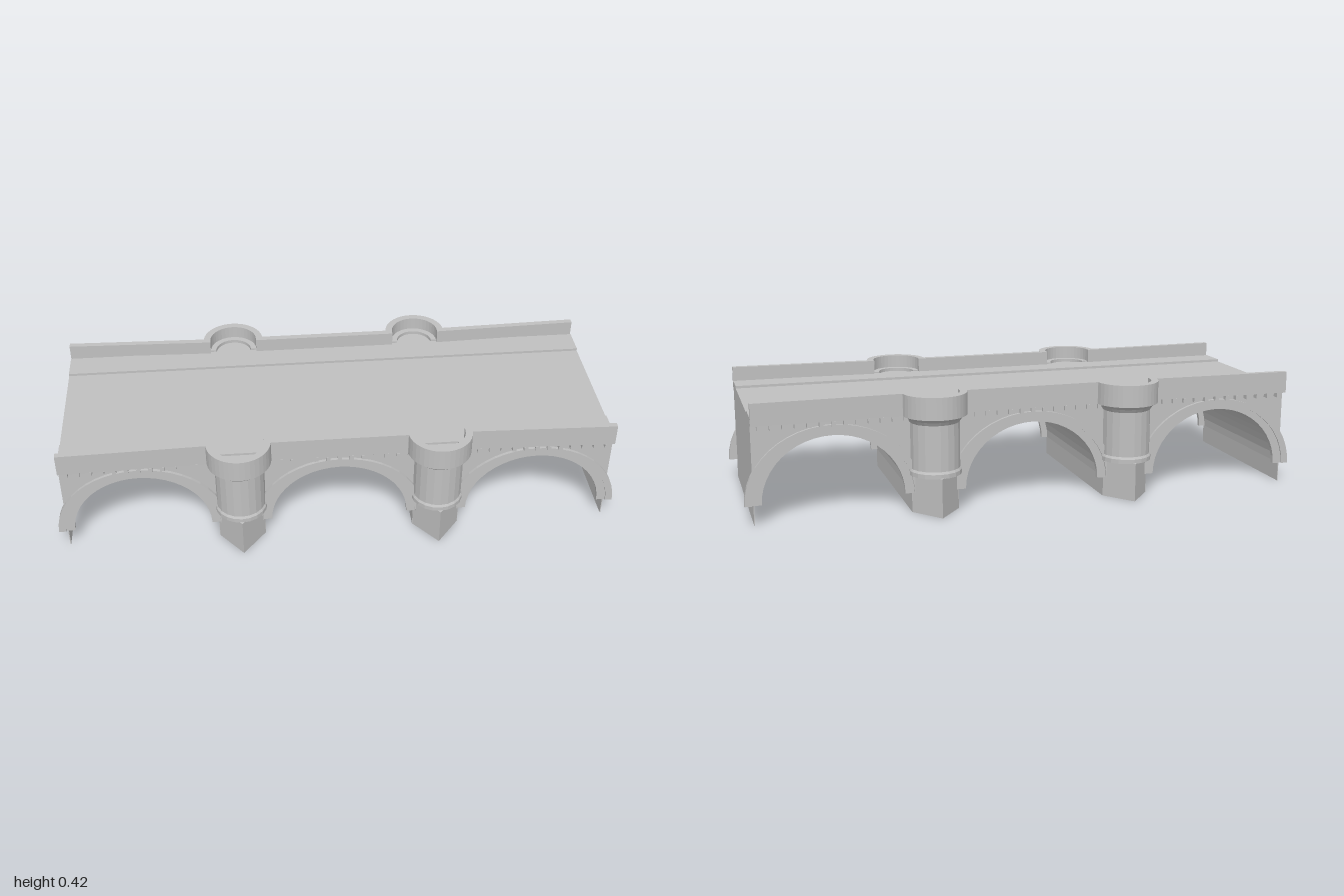
import * as THREE from 'three';

const stone = new THREE.MeshStandardMaterial({ color: 0xc0c0c0, flatShading: true });
stone.name = 'stone';

const TOWERS = [-0.35, 0.35];
const ARCHES = [-0.7, 0, 0.7];
const WALL = 0.32; // z of the spandrel walls and tower axes
const SPRING = 0.07; // height where the arches start

function add(parent, name, geometry) {
  const mesh = new THREE.Mesh(geometry, stone);
  mesh.name = name;
  parent.add(mesh);
  return mesh;
}

// Points of an elliptical arc from angle a to b
function arc(cx, cy, rx, ry, a, b, n = 24) {
  return Array.from({ length: n + 1 }, (_, i) => {
    const t = a + ((b - a) * i) / n;
    return [cx + rx * Math.cos(t), cy + ry * Math.sin(t)];
  });
}

const toShape = (pts) => new THREE.Shape(pts.map(([x, y]) => new THREE.Vector2(x, y)));

// Elevation outline in x/y, extruded from z0 to z1
function elevation(pts, z0, z1) {
  const g = new THREE.ExtrudeGeometry(toShape(pts), { depth: z1 - z0, bevelEnabled: false });
  return g.translate(0, 0, z0);
}

// Plan outline in x/z, extruded from y0 to y1
function plan(pts, y0, y1, side) {
  const shape = toShape(pts.map(([x, z]) => [x, -z * side]));
  const g = new THREE.ExtrudeGeometry(shape, { depth: y1 - y0, bevelEnabled: false });
  return g.rotateX(-Math.PI / 2).translate(0, y0, 0);
}

function box(parent, name, x, y, z, w, h, d) {
  return add(parent, name, new THREE.BoxGeometry(w, h, d).translate(x, y, z));
}

// Face of the wall under the flared parapet ends
const flare = (x) => Math.max(0, (Math.abs(x) - 0.46) / 0.51) * 0.015;

function buildSide(side) {
  const group = new THREE.Group();
  group.name = side > 0 ? 'frontSide' : 'backSide';

  // Stepped arch rings
  for (const cx of ARCHES) {
    const bands = [['innerArchRing', 0.243, 0.223, 0.275, 0.243, 0.326],
      ['outerArchRing', 0.275, 0.243, 0.3, 0.26, 0.331]];
    for (const [name, rx, ry, ox, oy, z] of bands) {
      const pts = [...arc(cx, SPRING, ox, oy, 0, Math.PI), ...arc(cx, SPRING, rx, ry, Math.PI, 0)];
      const zs = [side * 0.31, side * z].sort((a, b) => a - b);
      add(group, name, elevation(pts, zs[0], zs[1]));
    }
  }

  // Parapet running round both half-round refuges
  const outer = [[-0.97, 0.346]];
  const inner = [[-0.97, 0.325]];
  for (const tx of TOWERS) {
    outer.push([tx - 0.112, 0.33], ...arc(tx, WALL, 0.112, 0.112, Math.PI - 0.1, 0.1, 18), [tx + 0.112, 0.33]);
    inner.push([tx - 0.087, 0.307], ...arc(tx, WALL, 0.087, 0.087, Math.PI, 0, 18), [tx + 0.087, 0.307]);
  }
  outer.push([0.97, 0.346]);
  inner.push([0.97, 0.325]);
  add(group, 'parapet', plan([...outer, ...inner.reverse()], 0.342, 0.42, side));

  for (const tx of TOWERS) {
    // Refuge floor and curved bench
    add(group, 'refugeFloor', plan([[tx - 0.1, 0.3], ...arc(tx, WALL, 0.1, 0.1, Math.PI, 0, 18), [tx + 0.1, 0.3]],
      0.342, 0.362, side));
    add(group, 'refugeBench', plan([...arc(tx, WALL, 0.09, 0.09, Math.PI, 0, 18),
      ...arc(tx, WALL, 0.066, 0.066, 0, Math.PI, 18)], 0.355, 0.374, side));

    // Turned shaft with foot moulding and flared neck
    const profile = [[0, 0.135], [0.091, 0.135], [0.091, 0.15], [0.086, 0.158], [0.086, 0.318],
      [0.094, 0.33], [0.106, 0.343], [0, 0.343]].map(([r, y]) => new THREE.Vector2(r, y));
    const start = side > 0 ? -Math.PI / 2 : Math.PI / 2;
    add(group, 'towerShaft', new THREE.LatheGeometry(profile, 10, start, Math.PI).translate(tx, 0, side * WALL));

    // Pointed cutwater at the foot of the pier
    add(group, 'cutwater', plan([[tx - 0.082, 0.31], [tx - 0.082, WALL], [tx, 0.422], [tx + 0.082, WALL],
      [tx + 0.082, 0.31]], 0, 0.137, side));
  }

  // Row of small dentils below the parapet
  for (let i = -23; i <= 23; i++) {
    const x = i * 0.041;
    if (TOWERS.some((tx) => Math.abs(x - tx) < 0.1)) continue;
    box(group, 'dentil', x, 0.334, side * (0.324 + flare(x) / 2), 0.014, 0.017, 0.014 + flare(x));
  }
  // Raised footway
  box(group, 'footway', 0, 0.355, side * 0.266, 1.94, 0.03, 0.102);
  return group;
}

export function createModel() {
  const bridge = new THREE.Group();
  bridge.name = 'bridge';

  // Body with three vaulted openings
  const outline = [[-0.97, 0.342], [-0.97, 0]];
  for (const cx of ARCHES) {
    outline.push([cx - 0.267, 0], ...arc(cx, SPRING, 0.267, 0.232, Math.PI, 0), [cx + 0.267, 0]);
  }
  outline.push([0.97, 0], [0.97, 0.342]);
  add(bridge, 'vaultedBody', elevation(outline, -WALL, WALL));

  // Road deck
  box(bridge, 'roadDeck', 0, 0.35, 0, 1.94, 0.022, 0.62);

  bridge.add(buildSide(1), buildSide(-1));
  return bridge;
}
